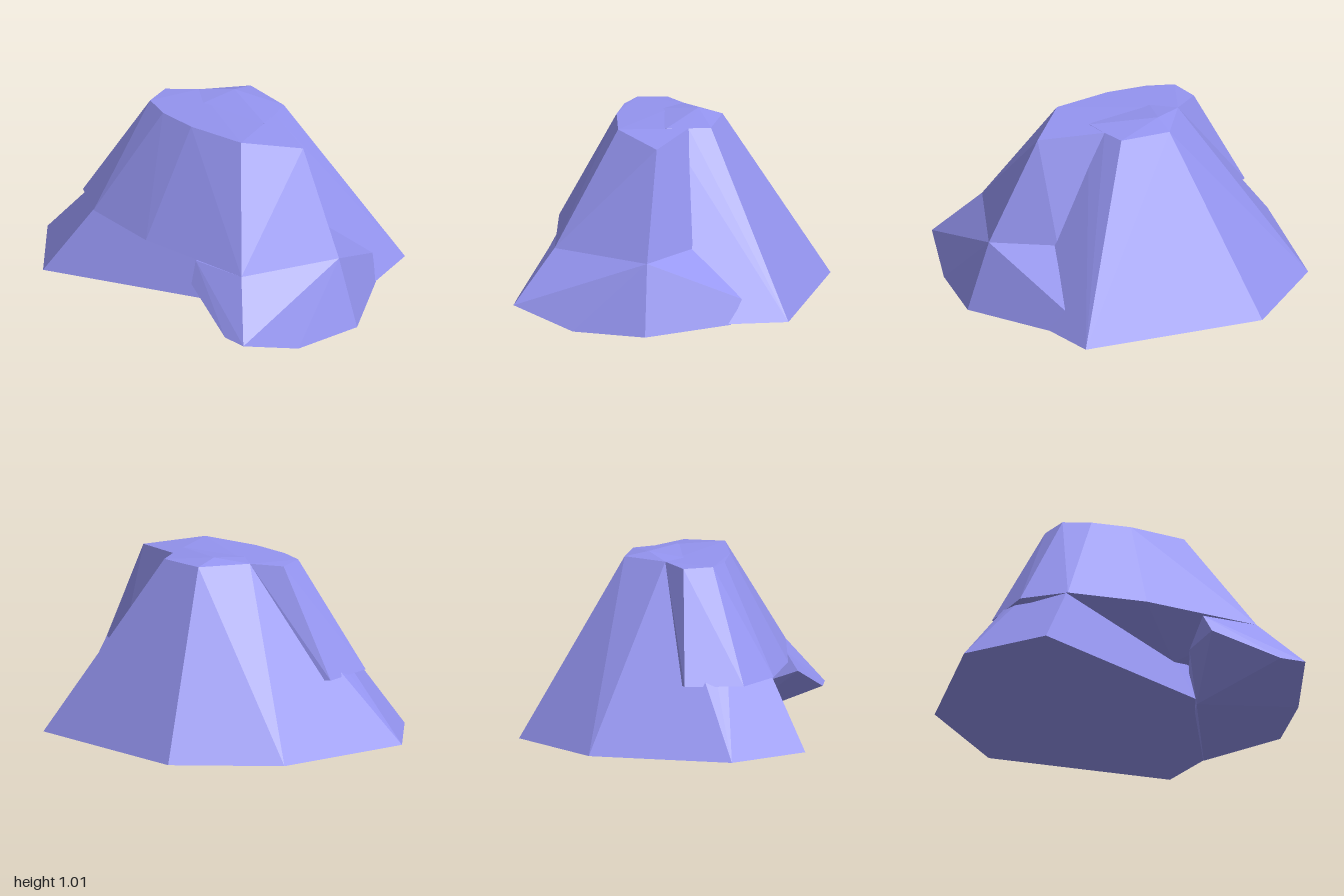
import * as THREE from 'three';
import { ConvexGeometry } from 'three/addons/geometries/ConvexGeometry.js';

// A faceted rock made of overlapping convex chunks.
const material = new THREE.MeshStandardMaterial({ color: 0x9494f0, flatShading: true });

function chunk(name, corners) {
  const points = corners.map((c) => new THREE.Vector3(...c));
  const mesh = new THREE.Mesh(new ConvexGeometry(points), material);
  mesh.name = name;
  return mesh;
}

export function createModel() {
  const group = new THREE.Group();
  group.name = 'rock';

  // Tapering main mass with a wide flat base
  group.add(chunk('mainRock', [
    [0.74, 0.03, -0.63], [-0.25, 0.03, -0.85], [-0.77, 0.03, -0.5], [-1, 0.03, 0.26],
    [-0.72, 0.03, 0.67], [0.38, 0.03, 0.34], [0.82, 0.03, -0.05],
    [-0.03, 0.98, -0.27], [0.24, 0.975, -0.21], [0.27, 0.98, -0.09], [0.29, 0.985, 0.03],
    [-0.04, 1.01, -0.14], [-0.22, 0.985, -0.06], [-0.21, 0.97, 0.1], [-0.18, 0.96, 0.25],
  ]));

  // Upper slab that overhangs the front and both sides
  group.add(chunk('frontSlab', [
    // Top rim
    [-0.38, 0.975, 0.03], [-0.36, 0.98, 0.19], [-0.22, 0.98, 0.26], [0, 0.985, 0.3],
    [0.33, 0.99, 0.29], [0.59, 0.95, 0.08], [0.27, 0.98, -0.09], [-0.22, 0.985, -0.06],
    // Lower rim
    [-0.7, 0.39, 0.02], [-0.7, 0.39, 0.34], [-0.5, 0.4, 0.51], [-0.07, 0.4, 0.61],
    [0.27, 0.4, 0.62], [0.59, 0.4, 0.63], [0.87, 0.39, 0.13], [0.59, 0.4, -0.12],
    [-0.64, 0.39, 0],
    // Sloping underside
    [0.25, 0.23, 0.32], [-0.4, 0.38, 0.3],
  ]));

  // Low outcrop at the front corner
  group.add(chunk('cornerOutcrop', [
    [0.27, 0.39, 0.615], [0.29, 0.28, 0.68], [0.59, 0.4, 0.63], [0.63, 0.13, 0.83],
    [0.77, 0.13, 0.85], [0.9, 0.02, 0.53], [1, 0.015, 0.14], [0.87, 0.39, 0.13],
    [0.6, 0.4, -0.11], [0.71, 0.15, -0.38], [0.78, 0.025, -0.32],
    [0.38, 0, 0.34], [0.25, 0.23, 0.5],
  ]));

  return group;
}
